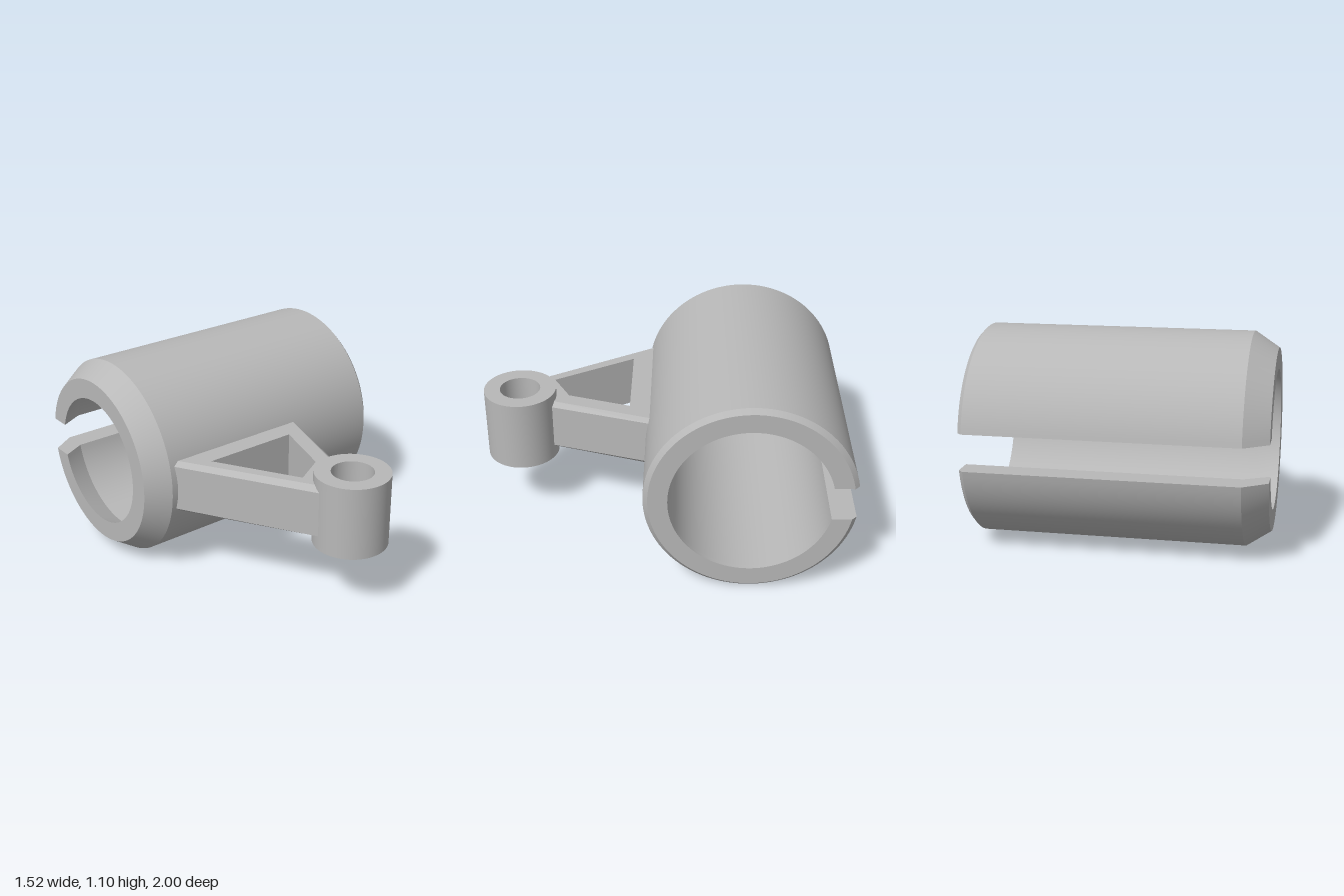
import * as THREE from 'three';
import { mergeGeometries } from 'three/addons/utils/BufferGeometryUtils.js';

// Surface through rows of points
function grid(rows, flat = false) {
  const n = rows[0].length, index = [];
  for (let i = 0; i < rows.length - 1; i++)
    for (let j = 0; j < n - 1; j++) {
      const a = i * n + j, b = a + 1, c = a + n + 1, d = a + n;
      index.push(a, b, c, a, c, d);
    }
  let g = new THREE.BufferGeometry();
  g.setAttribute('position', new THREE.Float32BufferAttribute(rows.flat(2), 3));
  g.setIndex(index);
  if (flat) g = g.toNonIndexed();
  g.computeVertexNormals();
  return g;
}

// Tube about the x axis from matching outer and inner [x, r] profiles,
// with an optional parallel-sided slot along its -z side
function slottedTube(outer, inner, slotHalf, segments) {
  const at = ([x, r], f) => {
    const t = f * (Math.PI - Math.asin(slotHalf / r));
    return [x, r * Math.sin(t), r * Math.cos(t)];
  };
  const loop = [...outer, ...[...inner].reverse()];
  const parts = loop.map((p, k) => {
    const q = loop[(k + 1) % loop.length], rows = [];
    for (let i = 0; i <= segments; i++) {
      const f = (2 * i) / segments - 1;
      rows.push([at(p, f), at(q, f)]);
    }
    return grid(rows);
  });
  if (slotHalf > 0) {
    const lip = (profile, f) => profile.map((p) => at(p, f));
    parts.push(grid([lip(outer, 1), lip(inner, 1)]));
    parts.push(grid([lip(inner, -1), lip(outer, -1)]));
  }
  return mergeGeometries(parts);
}

export function createModel() {
  const model = new THREE.Group();
  model.name = 'clampBracket';
  const grey = new THREE.MeshStandardMaterial({ color: 0xb8b8b8 });
  grey.name = 'grey';
  const add = (name, geometry) => {
    const mesh = new THREE.Mesh(geometry, grey);
    mesh.name = name;
    model.add(mesh);
    return mesh;
  };

  // Split sleeve, long taper on one end and a small chamfer on the other
  add('splitSleeve', slottedTube(
    [[-0.765, 0.47], [-0.64, 0.552], [0.735, 0.552], [0.76, 0.527]],
    [[-0.765, 0.36], [-0.64, 0.425], [0.735, 0.425], [0.76, 0.425]],
    0.095, 96,
  )).position.set(0, 0.552, -0.457);

  // Upright eye at the tip of the arm
  const eye = add('eye', slottedTube(
    [[0.355, 0.2], [0.755, 0.2]], [[0.355, 0.112], [0.755, 0.112]], 0, 64));
  eye.rotation.z = Math.PI / 2;
  eye.position.set(-0.015, 0, 0.8);

  // Triangular arm: at each corner the outer edge, the chamfer's inner edge
  // and the opening, as [x, z]
  const corners = [
    [[-0.643, 0.03], [-0.611, 0.03], [-0.45, 0.185]],
    [[0.239, 0.03], [0.218, 0.03], [0.08, 0.185]],
    [[0.064, 0.625], [0.036, 0.62], [-0.026, 0.53]],
    [[-0.21, 0.775], [-0.181, 0.75], [-0.196, 0.624]],
  ];
  const low = 0.41, high = 0.705, bevel = 0.023;
  const sections = corners.map(([o, f, h]) => [
    [o, low + bevel], [o, high - bevel], [f, high], [h, high], [h, low], [f, low], [o, low + bevel],
  ].map(([[x, z], y]) => [x, y, z]));
  add('arm', grid([...sections, sections[0]], true));

  return model;
}
